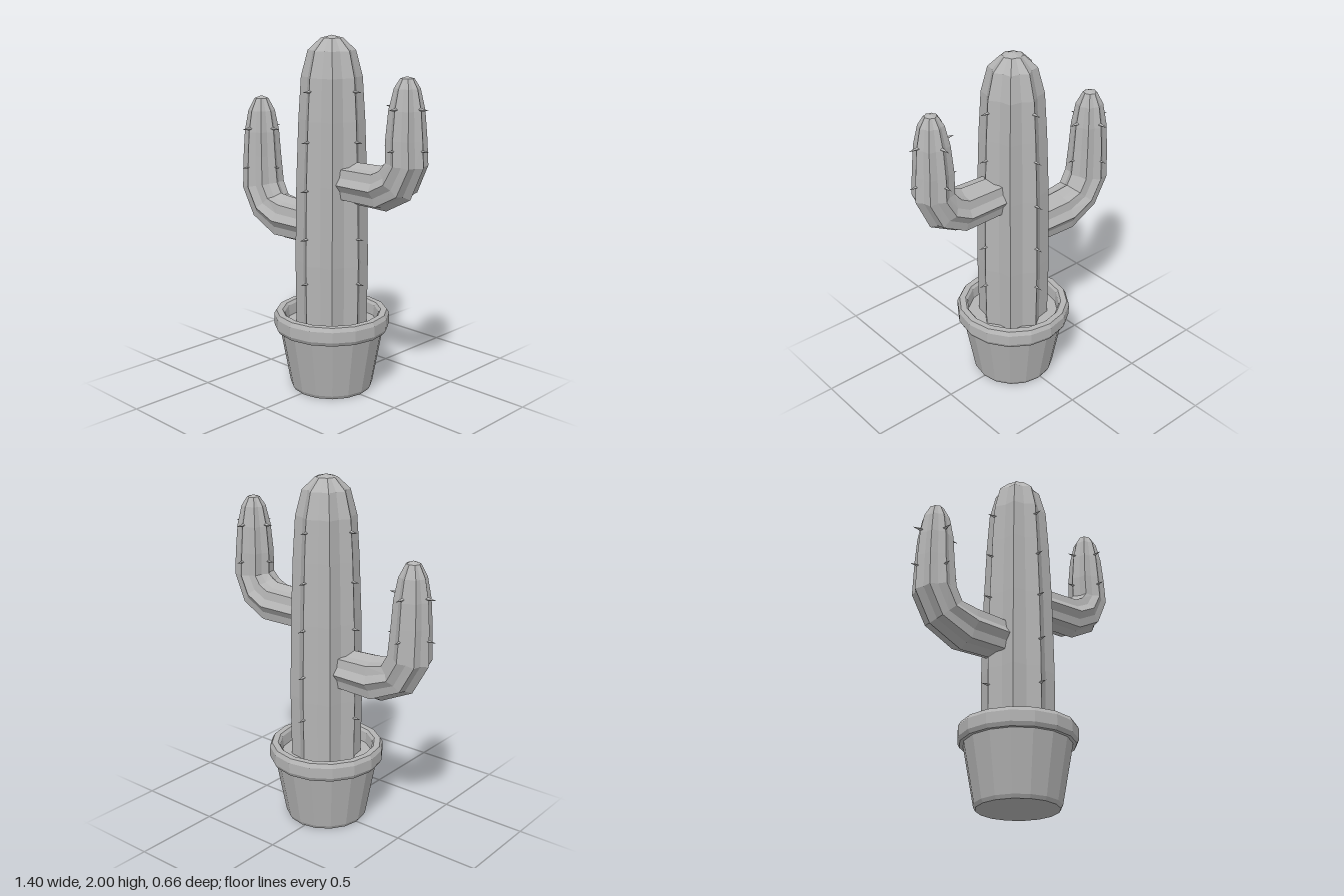
import * as THREE from 'three';

const SIDES = 16; // 8 ribs: ridges and valleys alternate

// Ribbed skin through rings [x, y, tangent angle in degrees, ridge radius], closed by a fan at the tip
function ribbedGeometry(rings, tip, valley) {
  const pos = [], idx = [];
  for (const [x, y, deg, r] of rings) {
    const t = THREE.MathUtils.degToRad(deg);
    for (let k = 0; k < SIDES; k++) {
      const a = (k / SIDES) * Math.PI * 2;
      const rr = k % 2 ? r * valley : r;
      pos.push(x - Math.sin(t) * Math.cos(a) * rr, y + Math.cos(t) * Math.cos(a) * rr, Math.sin(a) * rr);
    }
  }
  pos.push(tip[0], tip[1], 0);
  const apex = rings.length * SIDES;
  for (let i = 0; i < rings.length; i++) {
    for (let k = 0; k < SIDES; k++) {
      const n = (k + 1) % SIDES, a = i * SIDES + k, b = i * SIDES + n;
      if (i === rings.length - 1) idx.push(a, b, apex);
      else idx.push(a, b, b + SIDES, a, b + SIDES, a + SIDES);
    }
  }
  const g = new THREE.BufferGeometry();
  g.setAttribute('position', new THREE.Float32BufferAttribute(pos, 3));
  g.setIndex(idx);
  const flat = g.toNonIndexed();
  flat.computeVertexNormals();
  return flat;
}

export function createModel() {
  const root = new THREE.Group();
  root.name = 'pottedCactus';
  const grey = new THREE.MeshStandardMaterial({ color: 0xb4b4b4, flatShading: true });
  grey.name = 'grey';
  const CX = 0.02; // trunk and pot axis

  const add = (name, geometry) => {
    const m = new THREE.Mesh(geometry, grey);
    m.name = name;
    root.add(m);
    return m;
  };

  // Pot: outer wall, rim, inner wall and soil in one profile
  const profile = [
    [0, 0], [0.225, 0], [0.236, 0.02], [0.296, 0.35], [0.316, 0.35], [0.328, 0.372],
    [0.328, 0.432], [0.315, 0.455], [0.28, 0.455], [0.268, 0.44], [0.262, 0.38], [0, 0.38],
  ].map(([r, y]) => new THREE.Vector2(r, y));
  add('pot', new THREE.LatheGeometry(profile, 16)).position.x = CX;

  // Trunk
  add('trunk', ribbedGeometry([
    [CX, 0.37, 90, 0.2], [CX, 0.75, 90, 0.204], [CX, 1.2, 90, 0.196], [CX, 1.55, 90, 0.182],
    [CX, 1.78, 90, 0.167], [CX, 1.92, 90, 0.13], [CX, 1.985, 90, 0.06],
  ], [CX, 2], 0.84));

  // Left arm, higher on the trunk
  add('leftArm', ribbedGeometry([
    [0.1, 1.215, 0, 0.115], [0.4, 1.218, 10, 0.122], [0.5, 1.27, 45, 0.12], [0.555, 1.37, 86, 0.112],
    [0.55, 1.5, 90, 0.108], [0.55, 1.65, 90, 0.094], [0.55, 1.76, 90, 0.068], [0.55, 1.81, 90, 0.036],
  ], [0.55, 1.82], 0.84));

  // Right arm, lower on the trunk
  add('rightArm', ribbedGeometry([
    [-0.07, 0.93, 180, 0.118], [-0.34, 0.933, 169, 0.13], [-0.48, 0.985, 134, 0.12], [-0.545, 1.1, 102, 0.122],
    [-0.55, 1.28, 90, 0.11], [-0.55, 1.42, 90, 0.1], [-0.55, 1.54, 90, 0.077], [-0.55, 1.61, 90, 0.04],
  ], [-0.55, 1.625], 0.84));

  // Spines on the four main ridges; those buried by an arm are left out
  const spineGeometry = new THREE.ConeGeometry(0.012, 0.06, 4).rotateZ(-Math.PI / 2);
  const spines = new THREE.Group();
  spines.name = 'spines';
  root.add(spines);
  const addSpines = (x, y, tipRadius, skip = -1) => {
    for (let k = 0; k < 4; k++) {
      if (k === skip) continue;
      const a = (k * Math.PI) / 2, r = tipRadius - 0.03;
      const s = new THREE.Mesh(spineGeometry, grey);
      s.name = 'spine';
      s.position.set(x + Math.cos(a) * r, y, -Math.sin(a) * r);
      s.rotation.y = a;
      spines.add(s);
    }
  };
  addSpines(CX, 0.65, 0.247);
  addSpines(CX, 0.905, 0.247, 2);
  addSpines(CX, 1.175, 0.242, 0);
  addSpines(CX, 1.44, 0.23);
  addSpines(CX, 1.71, 0.217);
  addSpines(0.55, 1.45, 0.15);
  addSpines(0.55, 1.66, 0.14);
  addSpines(-0.55, 1.215, 0.152);
  addSpines(-0.55, 1.44, 0.147);

  return root;
}
